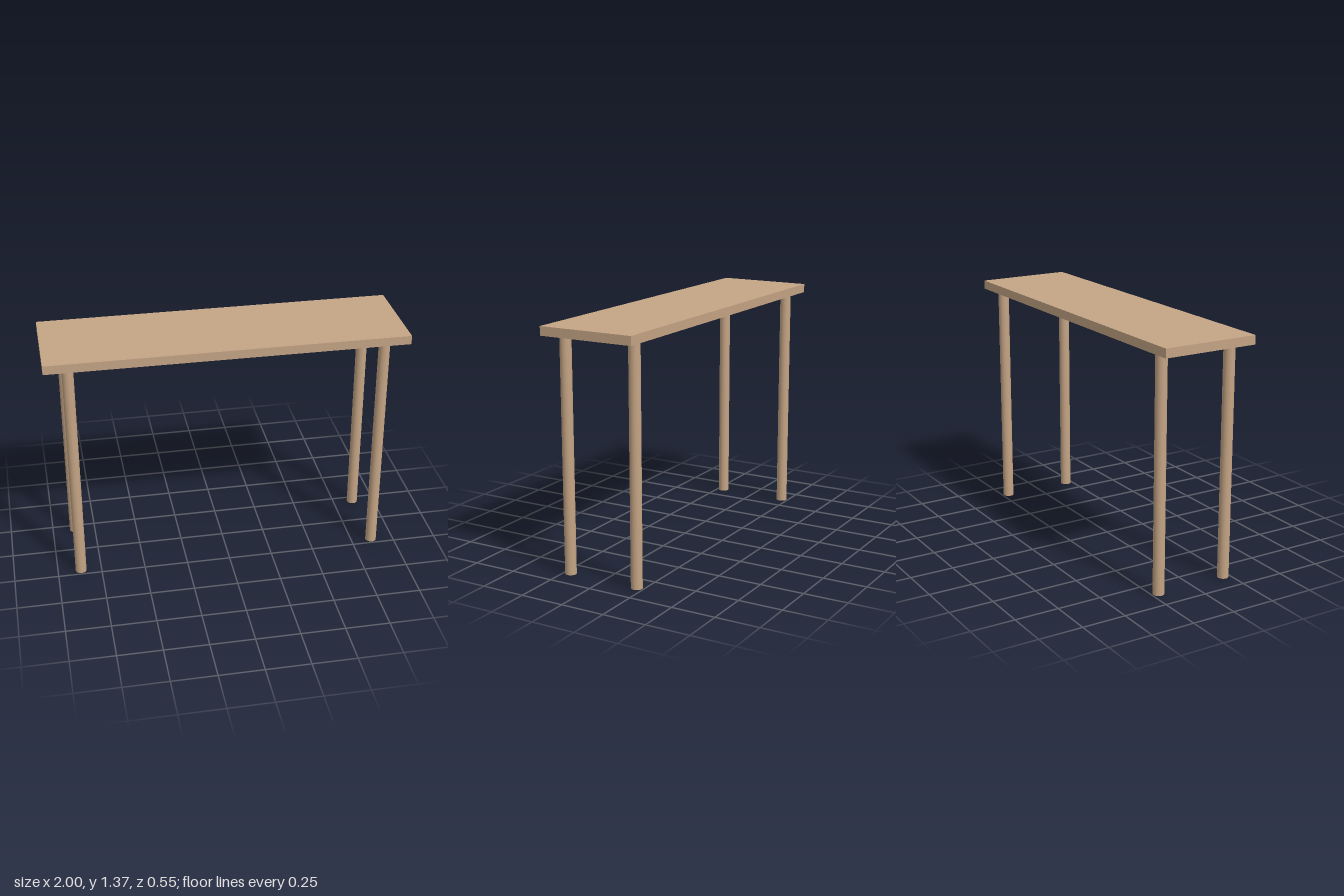
import * as THREE from 'three';

export function createModel() {
  const table = new THREE.Group();
  table.name = 'table';
  const wood = new THREE.MeshStandardMaterial({ color: 0xc4a484 });

  const height = 1.37, thickness = 0.05, depth = 0.547;
  const legHeight = height - thickness, legRadius = 0.0315;

  // Flat slab top
  const top = new THREE.Mesh(new THREE.BoxGeometry(2, thickness, depth), wood);
  top.name = 'tableTop';
  top.position.y = height - thickness / 2;
  table.add(top);

  // Four round legs, set in from the corners
  const legGeometry = new THREE.CylinderGeometry(legRadius, legRadius, legHeight, 32);
  for (const [sideName, x] of [['Left', 0.868], ['Right', -0.868]]) {
    for (const [endName, z] of [['front', 0.21], ['back', -0.21]]) {
      const leg = new THREE.Mesh(legGeometry, wood);
      leg.name = `${endName}${sideName}Leg`;
      leg.position.set(x, legHeight / 2, z);
      table.add(leg);
    }
  }
  return table;
}
